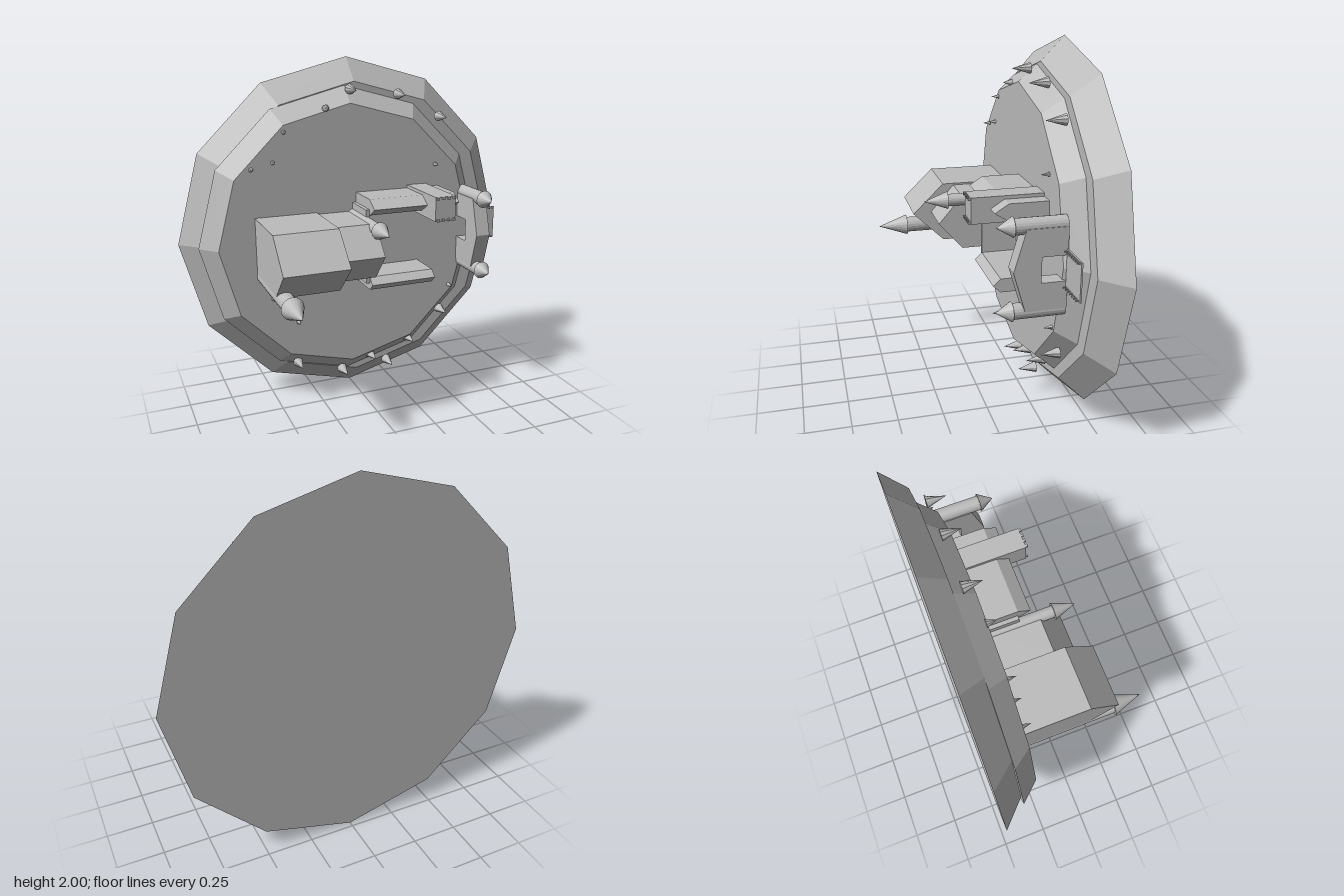
import * as THREE from 'three';

export function createModel() {
  const model = new THREE.Group();
  model.name = 'castleOnIsland';
  const stone = new THREE.MeshStandardMaterial({ color: 0xbcbcbc, flatShading: true });
  stone.name = 'greyStone';
  const FLOOR = -0.245; // courtyard level; the castle rises along +z

  function add(name, geometry) {
    const mesh = new THREE.Mesh(geometry, stone);
    mesh.name = name;
    model.add(mesh);
    return mesh;
  }

  // Cylinder or cone standing along z
  function round(name, x, y, z0, z1, r0, r1, sides) {
    const g = new THREE.CylinderGeometry(r1, r0, z1 - z0, sides);
    g.rotateX(Math.PI / 2);
    g.translate(x, y, (z0 + z1) / 2);
    return add(name, g);
  }

  function block(name, x0, x1, y0, y1, z0, z1) {
    const g = new THREE.BoxGeometry(x1 - x0, y1 - y0, z1 - z0);
    g.translate((x0 + x1) / 2, (y0 + y1) / 2, (z0 + z1) / 2);
    return add(name, g);
  }

  // Outline in (y, z) pushed along x
  const turn = new THREE.Matrix4().makeBasis(
    new THREE.Vector3(0, 1, 0), new THREE.Vector3(0, 0, 1), new THREE.Vector3(1, 0, 0));
  function profile(name, x0, x1, points) {
    const shape = new THREE.Shape(points.map(([y, z]) => new THREE.Vector2(y, z)));
    const g = new THREE.ExtrudeGeometry(shape, { depth: x1 - x0, bevelEnabled: false });
    g.applyMatrix4(turn);
    g.translate(x0, 0, 0);
    return add(name, g);
  }

  function house(name, x0, x1, y0, y1, eave, ridge) {
    profile(name, x0, x1, [
      [y0, FLOOR - 0.01], [y1, FLOOR - 0.01], [y1, eave], [(y0 + y1) / 2, ridge], [y0, eave]]);
  }

  function tower(name, x, y, r, eave, coneRadius, tip) {
    round(name + 'Shaft', x, y, FLOOR - 0.02, eave, r, r, 20);
    round(name + 'Roof', x, y, eave, tip, coneRadius, 0, 20);
  }

  // Two-tier twelve-sided island
  round('lowerTier', 0, 1.003, -0.472, -0.345, 1, 0.87, 12);
  round('upperTier', -0.06, 1.003, -0.346, FLOOR, 0.85, 0.76, 12);

  // Halls and wings with gabled roofs
  house('greatHall', -0.615, -0.265, 0.835, 1.17, 0.13, 0.302);
  house('smallHall', -0.266, -0.038, 0.86, 1.16, 0.07, 0.2);
  house('longWing', -0.03, 0.482, 1.178, 1.267, -0.04, 0.03);
  house('shortWing', -0.03, 0.355, 0.75, 0.825, -0.04, 0.0);

  // Courtyard slab and its back wall
  block('courtyard', -0.04, 0.33, 0.79, 1.21, FLOOR - 0.005, FLOOR + 0.006);
  block('backWall', -0.052, -0.03, 0.79, 1.21, FLOOR, -0.04);

  // Square keep with small battlements
  block('keep', 0.285, 0.405, 1.15, 1.285, FLOOR - 0.005, 0.128);
  for (const y of [1.157, 1.278]) {
    for (let i = 0; i < 4; i++) {
      const x = 0.297 + i * 0.032;
      block('merlon', x - 0.007, x + 0.007, y - 0.007, y + 0.007, 0.127, 0.14);
    }
  }

  // Round towers
  tower('cornerTower', -0.573, 0.838, 0.045, 0.3, 0.06, 0.468);
  tower('innerTower', -0.05, 1.14, 0.033, 0.15, 0.047, 0.278);
  tower('gateTowerUpper', 0.663, 1.215, 0.04, -0.005, 0.05, 0.075);
  tower('gateTowerLower', 0.663, 0.79, 0.04, -0.005, 0.05, 0.075);

  // Peaked gatehouse wall with a passage
  profile('gatehouse', 0.62, 0.705, [
    [0.8, FLOOR - 0.02], [0.94, FLOOR - 0.02], [0.94, -0.137], [1.07, -0.137],
    [1.07, FLOOR - 0.02], [1.21, FLOOR - 0.02], [1.21, -0.06], [1.003, 0], [0.8, -0.06]]);

  // Drawbridge with pegs along both edges
  block('drawbridge', 0.705, 0.885, 0.905, 1.1, -0.265, -0.257);
  for (const y of [0.912, 1.093]) {
    for (let i = 0; i < 7; i++) {
      const x = 0.72 + i * 0.025;
      block('bridgePeg', x - 0.003, x + 0.003, y - 0.003, y + 0.003, -0.258, -0.24);
    }
  }

  // Trees on the slope
  const slopeTrees = [
    [-0.04, 1.835], [0.25, 1.8], [0.51, 1.665], [0.54, 0.465], [0.32, 0.31],
    [0.07, 0.24], [0.18, 0.18], [-0.11, 0.17], [-0.385, 0.26]];
  for (const [x, y] of slopeTrees) round('slopeTree', x, y, -0.302, -0.2, 0.03, 0, 10);

  // Small trees on the plateau
  const plateauTrees = [
    [-0.2, 1.74, 0.02], [-0.44, 1.625], [-0.505, 1.465], [-0.625, 1.435],
    [0.465, 1.395], [0.575, 0.635], [-0.39, 0.535], [-0.53, 0.695]];
  for (const [x, y, r = 0.014] of plateauTrees) {
    round('plateauTree', x, y, -0.252, -0.2, r, 0, 10);
  }

  return model;
}
